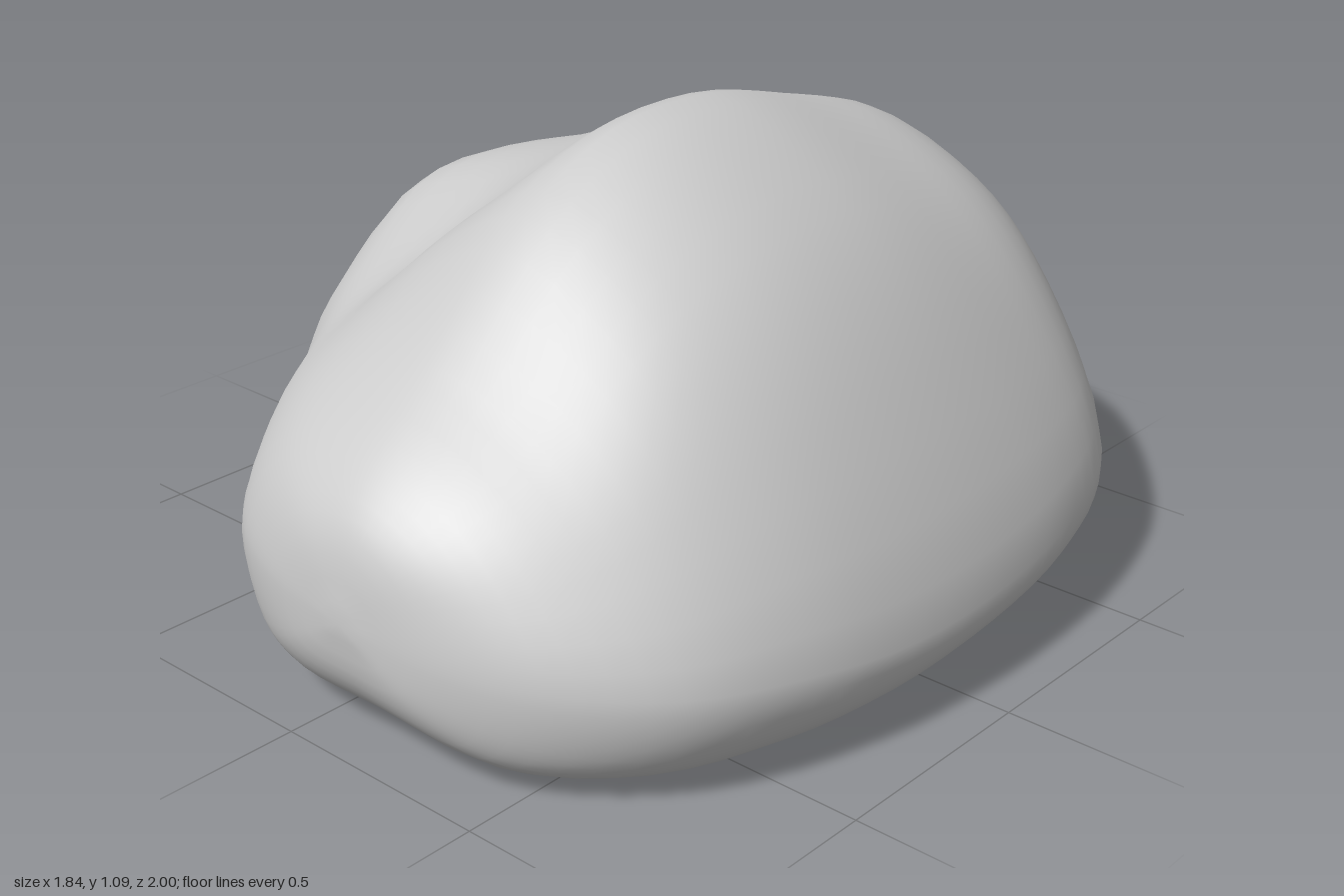
import * as THREE from 'three';

// Cross-sections from front to back:
// z, underside y, then x,y of left bulge, left shoulder, hollow, flank, ridge and right bulge
const SECTIONS = [
  [0.97, 0.16, -0.07, 0.30, -0.04, 0.37, 0.02, 0.43, 0.09, 0.46, 0.18, 0.47, 0.38, 0.28],
  [0.88, 0.06, -0.27, 0.30, -0.22, 0.42, -0.11, 0.52, 0.04, 0.57, 0.18, 0.58, 0.58, 0.26],
  [0.70, 0.02, -0.43, 0.28, -0.38, 0.46, -0.25, 0.59, -0.02, 0.69, 0.15, 0.715, 0.76, 0.24],
  [0.45, 0.01, -0.62, 0.30, -0.54, 0.50, -0.38, 0.63, -0.10, 0.85, 0.13, 0.95, 0.86, 0.22],
  [0.20, 0.015, -0.82, 0.35, -0.66, 0.60, -0.40, 0.70, -0.10, 0.93, 0.13, 1.07, 0.905, 0.20],
  [-0.10, 0.035, -0.92, 0.40, -0.76, 0.70, -0.44, 0.81, -0.10, 0.98, 0.13, 1.08, 0.915, 0.21],
  [-0.40, 0.05, -0.86, 0.40, -0.70, 0.70, -0.42, 0.82, -0.10, 0.94, 0.13, 1.01, 0.88, 0.24],
  [-0.65, 0.06, -0.64, 0.40, -0.52, 0.64, -0.31, 0.76, -0.05, 0.88, 0.14, 0.93, 0.79, 0.28],
  [-0.85, 0.08, -0.36, 0.40, -0.28, 0.58, -0.14, 0.69, 0.02, 0.76, 0.15, 0.78, 0.58, 0.36],
  [-0.95, 0.20, -0.15, 0.41, -0.11, 0.51, -0.03, 0.58, 0.06, 0.62, 0.14, 0.63, 0.40, 0.40],
];
const AROUND = 56, ALONG = 44;
const mix = THREE.MathUtils.lerp;

function sectionCurve([z, yB, xL, yL, xS, yS, xH, yH, xF, yF, xT, yT, xR, yR]) {
  const xm = (xL + xR) / 2;
  const points = [
    [xm, yB], [mix(xL, xm, 0.4), yB + 0.005], [mix(xL, xm, 0.14), mix(yB, yL, 0.26)], // underside, left
    [xL, yL], [xS, yS], [xH, yH], [xF, yF], [xT, yT], // left side up to the ridge
    [mix(xT, xR, 0.42), mix(yR, yT, 0.83)], [mix(xT, xR, 0.73), mix(yR, yT, 0.52)], // right slope
    [xR, yR], [mix(xR, xm, 0.06), mix(yB, yR, 0.35)], [mix(xR, xm, 0.25), yB + 0.005], // right rim
  ];
  return new THREE.CatmullRomCurve3(points.map(([x, y]) => new THREE.Vector3(x, y, z)), true);
}

function rockGeometry() {
  const curves = SECTIONS.map(sectionCurve);
  const front = new THREE.Vector3(0.16, 0.3, 1);
  const back = new THREE.Vector3(0.13, 0.42, -1);
  const inner = ALONG - 1; // rings between the two end points
  const positions = [];

  // Smooth strands run from the front end, through every section, to the back end
  for (let s = 0; s < AROUND; s++) {
    const through = curves.map(curve => curve.getPoint(s / AROUND));
    const strand = new THREE.CatmullRomCurve3([front, ...through, back]);
    for (let k = 1; k <= inner; k++) positions.push(...strand.getPoint(k / ALONG).toArray());
  }
  const frontIndex = AROUND * inner, backIndex = frontIndex + 1;
  positions.push(...front.toArray(), ...back.toArray());

  const index = [];
  for (let s = 0; s < AROUND; s++) {
    const a = s * inner, b = ((s + 1) % AROUND) * inner;
    index.push(frontIndex, b, a);
    for (let k = 0; k < inner - 1; k++) {
      index.push(a + k, b + k, a + k + 1, b + k, b + k + 1, a + k + 1);
    }
    index.push(a + inner - 1, b + inner - 1, backIndex);
  }

  const geometry = new THREE.BufferGeometry();
  geometry.setAttribute('position', new THREE.Float32BufferAttribute(positions, 3));
  geometry.setIndex(index);
  geometry.computeVertexNormals();
  return geometry;
}

export function createModel() {
  const group = new THREE.Group();
  group.name = 'boulder';
  const rock = new THREE.Mesh(rockGeometry(), new THREE.MeshStandardMaterial({ color: 0xcccccc }));
  rock.name = 'rock';
  group.add(rock);
  return group;
}
